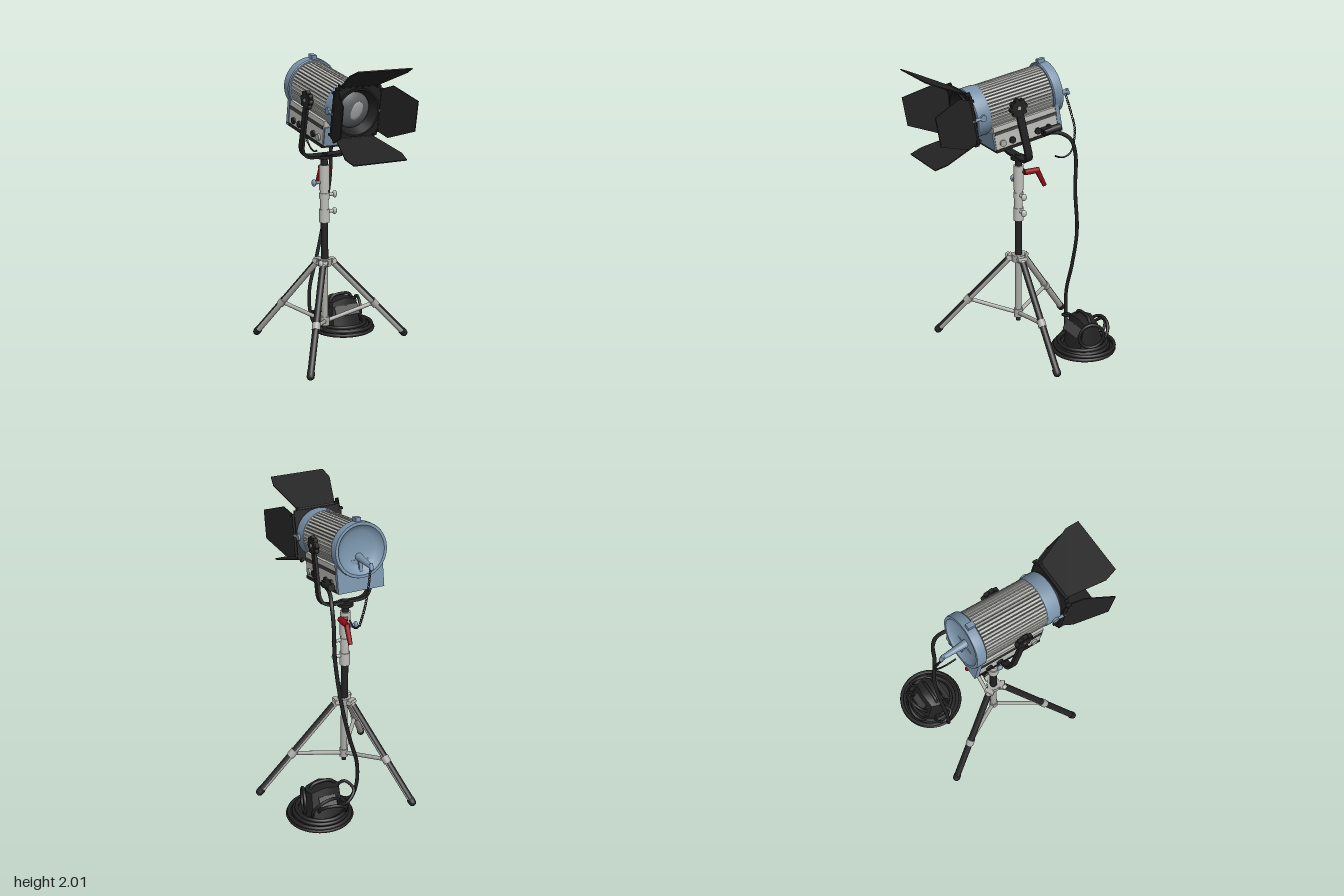
import * as THREE from 'three';
import { toCreasedNormals } from 'three/addons/utils/BufferGeometryUtils.js';

const mat = (name, color, extra = {}) => {
  const m = new THREE.MeshStandardMaterial({ color, ...extra });
  m.name = name;
  return m;
};
const V = (x, y, z) => new THREE.Vector3(x, y, z);
const UP = V(0, 1, 0);

export function createModel() {
  const black = mat('black', 0x222222);
  const charcoal = mat('charcoal', 0x454545);
  const silver = mat('silver', 0xbdbdb8);
  const steel = mat('steel grey', 0xa9a9a5);
  const blue = mat('blue grey', 0x7a93aa);
  const red = mat('red', 0x8c1016);
  const glass = mat('lens grey', 0x5e6062);
  const glow = mat('pale lens', 0xa0a2a3);

  const model = new THREE.Group();
  model.name = 'studioLight';

  const group = (name, parent, x = 0, y = 0, z = 0) => {
    const g = new THREE.Group();
    g.name = name;
    g.position.set(x, y, z);
    parent.add(g);
    return g;
  };
  const add = (parent, name, geo, material, x = 0, y = 0, z = 0) => {
    const m = new THREE.Mesh(geo, material);
    m.name = name;
    m.position.set(x, y, z);
    parent.add(m);
    return m;
  };
  const box = (parent, name, w, h, d, material, x, y, z) =>
    add(parent, name, new THREE.BoxGeometry(w, h, d), material, x, y, z);
  // Cylinder between two points
  const rod = (parent, name, a, b, r1, material, r2 = r1, sides = 14) => {
    const d = b.clone().sub(a);
    const m = add(parent, name, new THREE.CylinderGeometry(r2, r1, d.length(), sides), material);
    m.position.copy(a).add(b).multiplyScalar(0.5);
    m.quaternion.setFromUnitVectors(UP, d.normalize());
    return m;
  };
  const tube = (parent, name, pts, r, material, steps = 60) =>
    add(parent, name, new THREE.TubeGeometry(
      new THREE.CatmullRomCurve3(pts.map(p => V(...p))), steps, r, 8), material);
  // Lathe turned so that its axis runs along z; points are [radius, z]
  const latheZ = (parent, name, pts, material) => add(parent, name, toCreasedNormals(
    new THREE.LatheGeometry(pts.map(p => new THREE.Vector2(...p)), 40).rotateX(Math.PI / 2), 0.6), material);

  // ---- Stand ----
  const stand = group('stand', model, -0.13, 0, -0.1);
  const columnParts = [ // name, y0, y1, radius, material
    ['columnTip', 0.15, 0.19, 0.016, black], ['lowerTube', 0.18, 0.66, 0.023, steel],
    ['lowerCollar', 0.18, 0.24, 0.03, steel], ['hub', 0.6, 0.65, 0.046, steel],
    ['blackTube', 0.65, 0.91, 0.025, black], ['clampBottom', 0.9, 0.99, 0.035, silver],
    ['clampMiddle', 0.99, 1.12, 0.029, silver], ['clampRing', 1.06, 1.1, 0.034, silver],
    ['clampTop', 1.12, 1.29, 0.035, silver], ['spigot', 1.29, 1.37, 0.024, black],
    ['yokePlate', 1.335, 1.355, 0.055, black]];
  for (const [name, y0, y1, r, m] of columnParts)
    rod(stand, name, V(0, y0, 0), V(0, y1, 0), r, m, r, 20);

  // Legs with dark outer covers, braces and hub lugs
  for (const [dx, dz] of [[0.615, 0.04], [-0.36, 0.455], [-0.27, -0.505]]) {
    const leg = group('leg', stand);
    leg.rotation.y = Math.atan2(-dz, dx);
    const R = Math.hypot(dx, dz);
    const foot = V(R, 0.028, 0), top = V(0.055, 0.625, 0);
    const len = foot.distanceTo(top), angle = Math.atan2(R - 0.055, 0.597);
    rod(leg, 'legTube', foot, top, 0.021, steel);
    const cover = add(leg, 'legCover',
      new THREE.CylinderGeometry(0.024, 0.024, len * 0.97, 14, 1, true, Math.PI / 2 - 1.25, 2.5), black);
    cover.material = black;
    cover.position.copy(foot).lerp(top, 0.485);
    cover.rotation.z = angle;
    rod(leg, 'footCap', foot, foot.clone().lerp(top, 0.035), 0.026, black);
    add(leg, 'footEnd', new THREE.SphereGeometry(0.026, 14, 8), black, foot.x, foot.y, 0);
    const mid = foot.clone().lerp(top, 0.43);
    rod(leg, 'brace', V(0.02, 0.21, 0), mid, 0.014, steel);
    rod(leg, 'braceSleeve', foot.clone().lerp(top, 0.4), foot.clone().lerp(top, 0.46), 0.028, steel);
    box(leg, 'hubLug', 0.06, 0.045, 0.045, steel, 0.045, 0.625, 0);
    rod(leg, 'hubPin', V(0.06, 0.63, -0.032), V(0.06, 0.63, 0.032), 0.018, silver);
  }
  // Wing knobs
  const knob = (name, y, dx, dz, m) => {
    const d = V(dx, 0, dz).normalize(), at = s => V(d.x * s, y, d.z * s);
    rod(stand, name + 'Stem', at(0.02), at(0.07), 0.011, m);
    const wing = add(stand, name, new THREE.SphereGeometry(0.025, 12, 8), m);
    wing.position.copy(at(0.078));
    wing.scale.set(0.6, 1, 0.8);
  };
  knob('upperKnob', 1.085, 1, 0, silver);
  knob('lowerKnob', 0.97, 1, 0, silver);
  knob('sideKnob', 1.175, -1, 0, blue);
  knob('hubKnob', 0.63, -1, 0.9, silver);
  // Red locking lever
  rod(stand, 'leverPivot', V(0.045, 1.25, -0.13), V(0.045, 1.25, -0.02), 0.02, red);
  rod(stand, 'leverHandle', V(0.045, 1.255, -0.115), V(0.045, 1.135, -0.175), 0.019, red, 0.015);
  rod(stand, 'leverBase', V(0.0, 1.25, -0.03), V(0.05, 1.25, -0.03), 0.016, red);

  // ---- Yoke: U-shaped strap leaning back to the stand ----
  const yoke = group('yoke', model, -0.13, 1.745, 0);
  yoke.rotation.x = 0.235;
  const u = (s, h, b, c) => {
    s.moveTo(-h, 0.03); s.lineTo(-h, b + c); s.quadraticCurveTo(-h, b, -h + c, b);
    s.lineTo(h - c, b); s.quadraticCurveTo(h, b, h, b + c); s.lineTo(h, 0.03);
  };
  const strap = new THREE.Shape();
  u(strap, 0.19, -0.41, 0.1);
  strap.lineTo(0.172, 0.03); strap.lineTo(0.172, -0.31);
  strap.quadraticCurveTo(0.172, -0.39, 0.09, -0.39); strap.lineTo(-0.09, -0.39);
  strap.quadraticCurveTo(-0.172, -0.39, -0.172, -0.31); strap.lineTo(-0.172, 0.03);
  add(yoke, 'yokeStrap', new THREE.ExtrudeGeometry(strap, { depth: 0.05, bevelEnabled: false }), black, 0, 0, -0.025);
  for (const s of [-1, 1]) {
    rod(yoke, 'tiltKnob', V(s * 0.16, 0, 0), V(s * 0.195, 0, 0), 0.05, black, 0.05, 24);
    for (let i = 0; i < 8; i++) {
      const a = i * Math.PI / 4;
      rod(yoke, 'knobLobe', V(s * 0.168, 0.048 * Math.sin(a), 0.048 * Math.cos(a)),
        V(s * 0.193, 0.048 * Math.sin(a), 0.048 * Math.cos(a)), 0.017, black, 0.017, 8);
    }
    rod(yoke, 'knobBolt', V(s * 0.19, 0, 0), V(s * 0.198, 0, 0), 0.012, steel);
  }

  // ---- Lamp head, pitched forward ----
  const lamp = group('lampHead', model, -0.125, 1.75, 0);
  lamp.rotation.x = 0.175;
  latheZ(lamp, 'drum', [[0, -0.28], [0.15, -0.28], [0.15, 0.2], [0, 0.2]], charcoal);
  const fins = 46;
  for (let i = 0; i < fins; i++) {
    const a = i / fins * Math.PI * 2;
    if (Math.sin(a) < -0.75) continue;
    const fin = box(lamp, 'coolingFin', 0.022, i % 3 ? 0.0165 : 0.0145, 0.465, i % 4 ? silver : steel,
      0.15 * Math.cos(a), 0.15 * Math.sin(a), -0.04);
    fin.rotation.z = a;
  }
  latheZ(lamp, 'frontRing', [[0.15, 0.185], [0.163, 0.19], [0.166, 0.21], [0.166, 0.285], [0.15, 0.298]], blue);
  latheZ(lamp, 'lensHood', [[0.158, 0.285], [0.158, 0.33], [0.146, 0.33], [0.118, 0.265], [0.1, 0.26]], black);
  latheZ(lamp, 'lens', [[0.119, 0.262], [0.1, 0.278], [0.06, 0.292], [0, 0.298]], glass);
  const shine = add(lamp, 'lensCentre', new THREE.SphereGeometry(0.05, 20, 10), glow, 0.012, 0, 0.291);
  shine.scale.set(0.85, 1.25, 0.2);
  shine.rotation.z = -0.4;
  // Rear dished cap
  latheZ(lamp, 'rearCap', [[0, -0.29], [0.06, -0.292], [0.12, -0.304], [0.15, -0.322], [0.158, -0.335],
    [0.176, -0.335], [0.178, -0.328], [0.178, -0.272], [0.172, -0.265], [0, -0.265]], blue);
  box(lamp, 'topCatch', 0.035, 0.035, 0.05, blue, 0, 0.185, -0.295);
  rod(lamp, 'rearSpindle', V(0, -0.05, -0.285), V(0, -0.08, -0.46), 0.026, blue, 0.014);
  rod(lamp, 'spindleEnd', V(0, -0.06, -0.455), V(0, -0.1, -0.465), 0.013, blue);
  box(lamp, 'rearRib', 0.024, 0.13, 0.02, blue, 0, -0.1, -0.305);
  // Electrical housing under the drum
  box(lamp, 'housing', 0.31, 0.16, 0.47, silver, 0, -0.17, -0.045);
  box(lamp, 'housingBase', 0.318, 0.02, 0.48, black, 0, -0.255, -0.045);
  box(lamp, 'housingRear', 0.318, 0.2, 0.03, blue, 0, -0.165, -0.285);
  box(lamp, 'housingFront', 0.3, 0.12, 0.02, blue, 0, -0.19, 0.19);
  for (const s of [-1, 1]) {
    box(lamp, 'sideRail', 0.008, 0.02, 0.46, charcoal, s * 0.157, -0.135, -0.045);
    for (const z of [0.14, 0.07, -0.12, -0.2])
      rod(lamp, 'sideFitting', V(s * 0.15, -0.21, z), V(s * 0.168, -0.21, z), 0.022, z > 0.1 ? steel : black);
    rod(lamp, 'frontClip', V(s * 0.16, 0, 0.25), V(s * 0.178, 0, 0.25), 0.022, blue);
    rod(lamp, 'doorArm', V(s * 0.168, 0, 0.25), V(s * 0.168, 0, 0.325), 0.01, blue);
  }
  rod(lamp, 'cableSocket', V(0.185, -0.22, -0.15), V(0.19, -0.22, -0.27), 0.024, black);
  box(lamp, 'socketBlock', 0.06, 0.045, 0.06, black, 0.17, -0.22, -0.17);

  // Barn doors: square frame and four flared leaves
  const plate = new THREE.Shape([[-1, -1], [1, -1], [1, 1], [-1, 1]].map(p => new THREE.Vector2(p[0] * 0.163, p[1] * 0.165)));
  plate.holes.push(new THREE.Path().absarc(0, 0, 0.148, 0, Math.PI * 2, true));
  add(lamp, 'doorFrame', new THREE.ExtrudeGeometry(plate, { depth: 0.018, bevelEnabled: false, curveSegments: 24 }), black, 0, 0, 0.3);
  const wide = [[-0.135, 0], [0.135, 0], [0.205, 0.25], [0.19, 0.335], [-0.19, 0.335], [-0.205, 0.25]];
  const narrow = [[-0.14, 0], [0.14, 0], [0.172, 0.09], [0.098, 0.3], [-0.098, 0.3], [-0.172, 0.09]];
  const doors = [[wide, 33, 0], [narrow, 20, 0.14], [wide, 9, 0], [narrow, 17, -0.14]];
  doors.forEach(([pts, tilt, skew], i) => {
    const side = group('barnDoor', lamp);
    side.rotation.z = i * Math.PI / 2;
    const leaf = new THREE.Shape(pts.map(([x, y]) => new THREE.Vector2(x + skew * y, y)));
    const m = add(side, 'doorLeaf', new THREE.ExtrudeGeometry(leaf, { depth: 0.007, bevelEnabled: false }), black, 0, 0.172, 0.315);
    m.rotation.x = Math.PI / 2 - tilt * Math.PI / 180;
    rod(side, 'hinge', V(-0.14, 0.17, 0.313), V(0.14, 0.17, 0.313), 0.009, black, 0.009, 8);
    for (const s of [-1, 1]) box(side, 'hingeEar', 0.015, 0.03, 0.03, black, s * 0.135, 0.168, 0.312);
  });

  // ---- Safety chain and hook ----
  const chain = group('safetyChain', model);
  const path = new THREE.CatmullRomCurve3([V(-0.125, 1.73, -0.455), V(-0.1, 1.62, -0.48), V(-0.07, 1.5, -0.497), V(-0.05, 1.38, -0.475)]);
  for (let i = 0; i <= 24; i++) {
    const link = add(chain, 'chainLink', new THREE.TorusGeometry(0.008, 0.0028, 5, 8), charcoal);
    link.position.copy(path.getPointAt(i / 24));
    link.scale.y = 1.3;
    link.rotation.y = i % 2 ? 0.3 : 0.3 + Math.PI / 2;
  }
  tube(chain, 'chainHook', [[-0.05, 1.38, -0.475], [-0.045, 1.34, -0.44], [-0.045, 1.325, -0.39], [-0.05, 1.343, -0.33]], 0.006, black, 20);

  // ---- Power cable ----
  tube(model, 'powerCable', [[0.06, 1.55, -0.2], [0.075, 1.54, -0.3], [0.095, 1.49, -0.37], [0.098, 1.38, -0.405],
    [0.09, 1.13, -0.412], [0.06, 0.82, -0.45], [0, 0.55, -0.452], [-0.06, 0.33, -0.445], [-0.055, 0.15, -0.44],
    [-0.02, 0.06, -0.42], [0.06, 0.03, -0.3], [0.15, 0.025, -0.25]], 0.013, black, 90);

  // ---- Coiled cable on the floor ----
  const coil = group('cableCoil', model, 0.205, 0, -0.43);
  const rings = [[0.212, 0.013, 0, 0], [0.19, 0.014, 0.006, 0], [0.165, 0.014, 0, 0.006], [0.14, 0.014, 0, 0],
    [0.204, 0.036, 0.004, -0.008], [0.178, 0.038, -0.008, 0.004], [0.15, 0.04, 0.006, 0.006], [0.165, 0.058, -0.012, 0]];
  for (const [r, y, x, z] of rings)
    add(coil, 'coilLoop', new THREE.TorusGeometry(r, 0.013, 8, 44).rotateX(Math.PI / 2), black, x, y, z);
  add(coil, 'coilFill', new THREE.CylinderGeometry(0.14, 0.2, 0.025, 32), black, 0, 0.015, 0);

  // ---- Ballast bag inside the coil ----
  const bag = group('ballast', coil, -0.015, 0.02, -0.015);
  const body = new THREE.BoxGeometry(0.27, 0.225, 0.25, 4, 4, 4);
  const p = body.attributes.position;
  for (let i = 0; i < p.count; i++) { // narrow the top, round the sides, sag the middle
    const t = p.getY(i) / 0.225 + 0.5, x = p.getX(i), z = p.getZ(i);
    const round = 1 - 0.18 * Math.abs(x * z) / (0.135 * 0.125);
    p.setXYZ(i, x * round * (1 - 0.12 * t), p.getY(i) - 0.025 * t * Math.abs(x) / 0.135,
      z * round * (1 - 0.52 * t) + 0.01 * t);
  }
  body.computeVertexNormals();
  add(bag, 'ballastBody', body, black, 0, 0.1125, 0);
  for (const [s, w] of [[1, 0.19], [-1, 0.12]]) {
    const panel = box(bag, 'ballastPanel', w, 0.075, 0.008, charcoal, 0, 0.14, s * 0.089 + 0.006);
    panel.rotation.x = -s * 0.52;
  }
  // Loose cable loops and carry handle
  for (const [x, y, z, r, rx, ry] of [[0.13, 0.12, 0.02, 0.085, 0, 1.3], [0.02, 0.1, -0.09, 0.1, -0.5, 0.15], [-0.02, 0.08, -0.11, 0.09, -0.7, -0.2]]) {
    const loop = add(bag, 'looseLoop', new THREE.TorusGeometry(r, 0.011, 8, 28), black, x, y, z);
    loop.rotation.set(rx, ry, 0);
  }
  tube(bag, 'carryHandle', [[-0.09, 0.2, 0.01], [-0.06, 0.235, 0.01], [0.06, 0.235, 0.01], [0.09, 0.2, 0.01]], 0.011, black, 16);
  tube(bag, 'looseCable', [[-0.1, 0.17, 0.02], [-0.19, 0.16, 0.06], [-0.22, 0.13, -0.02], [-0.15, 0.06, -0.05], [-0.1, 0.02, 0.1]], 0.011, black, 28);

  return model;
}
